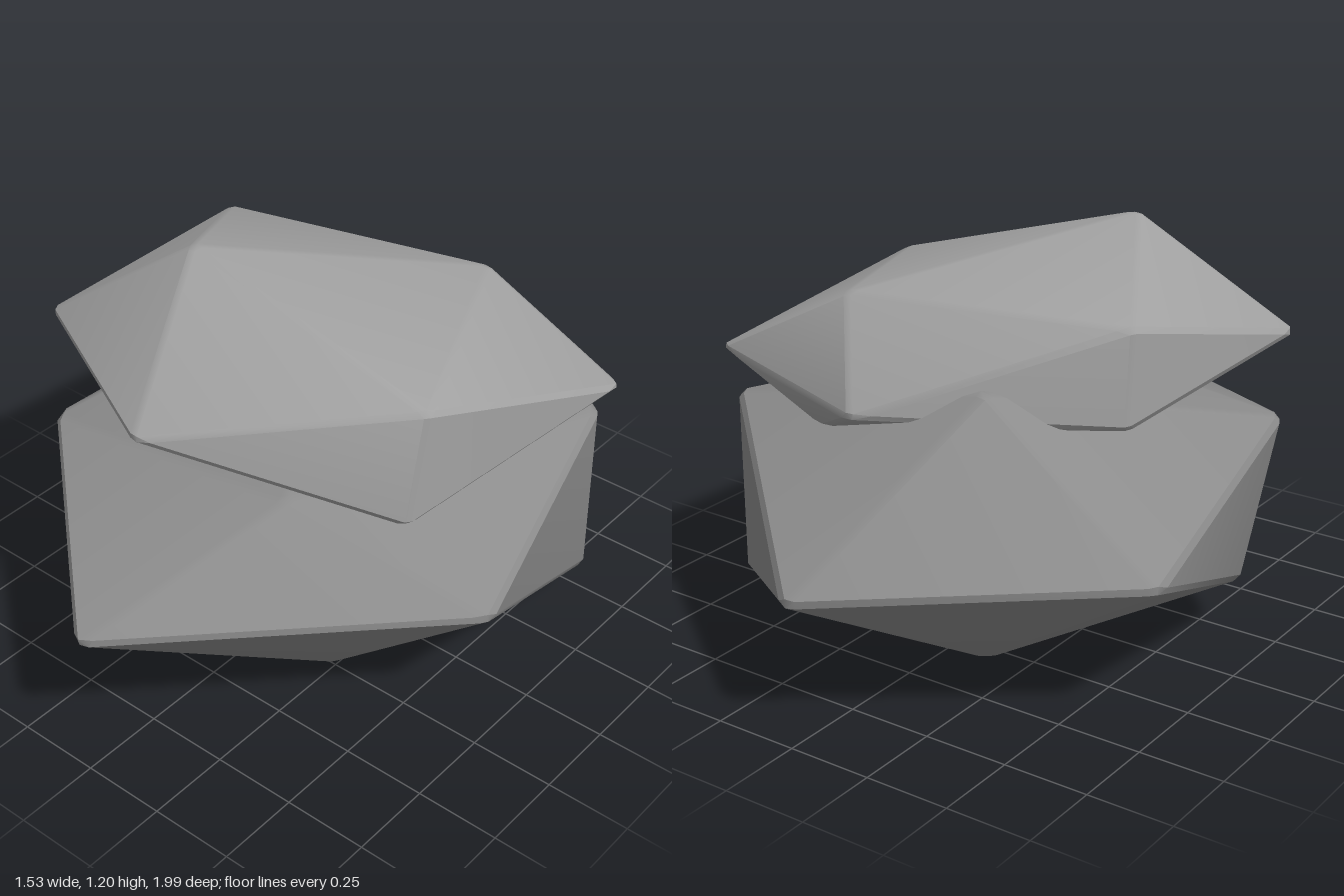
import * as THREE from 'three';
import { ConvexGeometry } from 'three/addons/geometries/ConvexGeometry.js';
import { toCreasedNormals } from 'three/addons/utils/BufferGeometryUtils.js';

// Convex boulder with narrow chamfers: every facet is inset, then re-hulled
function boulder(name, color, bevel, corners) {
  const points = corners.map((c) => new THREE.Vector3(...c));
  const center = new THREE.Vector3();
  points.forEach((p) => center.addScaledVector(p, 1 / points.length));
  // Grow slightly so that the chamfered tips keep their reach
  points.forEach((p) => p.sub(center).multiplyScalar(1.018).add(center));

  const pos = new ConvexGeometry(points).attributes.position;
  const inset = [];
  for (let i = 0; i < pos.count; i += 3) {
    const tri = [0, 1, 2].map((k) => new THREE.Vector3().fromBufferAttribute(pos, i + k));
    tri.forEach((a, k) => {
      const u = tri[(k + 1) % 3].clone().sub(a).normalize();
      const v = tri[(k + 2) % 3].clone().sub(a).normalize();
      const step = bevel / Math.sin(u.angleTo(v));
      inset.push(a.clone().addScaledVector(u.add(v), step));
    });
  }
  const geometry = toCreasedNormals(new ConvexGeometry(inset), 0.48);
  const mesh = new THREE.Mesh(geometry, new THREE.MeshStandardMaterial({ color }));
  mesh.name = name;
  return mesh;
}

export function createModel() {
  const group = new THREE.Group();
  group.name = 'stackedRocks';

  // Each rock: front tip, front ring of five, back ring of five, back tip
  group.add(boulder('lowerRock', 0x8c8c8c, 0.014, [
    [0, 0.45, 1],
    [0.76, 0.45, 0.24], [0.23, 0.70, 0.44], [-0.62, 0.60, 0.45], [-0.62, 0.17, 0.24], [0.23, 0, 0.24],
    [-0.76, 0.44, -0.45], [-0.23, 0.86, -0.45], [0.62, 0.69, -0.45], [0.62, 0.14, -0.45], [-0.23, 0.10, -0.45],
    [0, 0.41, -1],
  ]));

  group.add(boulder('upperRock', 0xa0a0a0, 0.011, [
    [-0.08, 0.89, 0.675],
    [0.51, 0.98, 0.20], [-0.26, 1.20, 0.23], [-0.69, 0.895, 0.37], [-0.28, 0.62, 0.28], [0.50, 0.65, 0.26],
    [0.69, 0.81, -0.44], [0.25, 1.04, -0.41], [-0.53, 1.03, -0.22], [-0.53, 0.76, -0.24], [0.25, 0.69, -0.53],
    [0.08, 0.78, -0.62],
  ]));

  return group;
}
